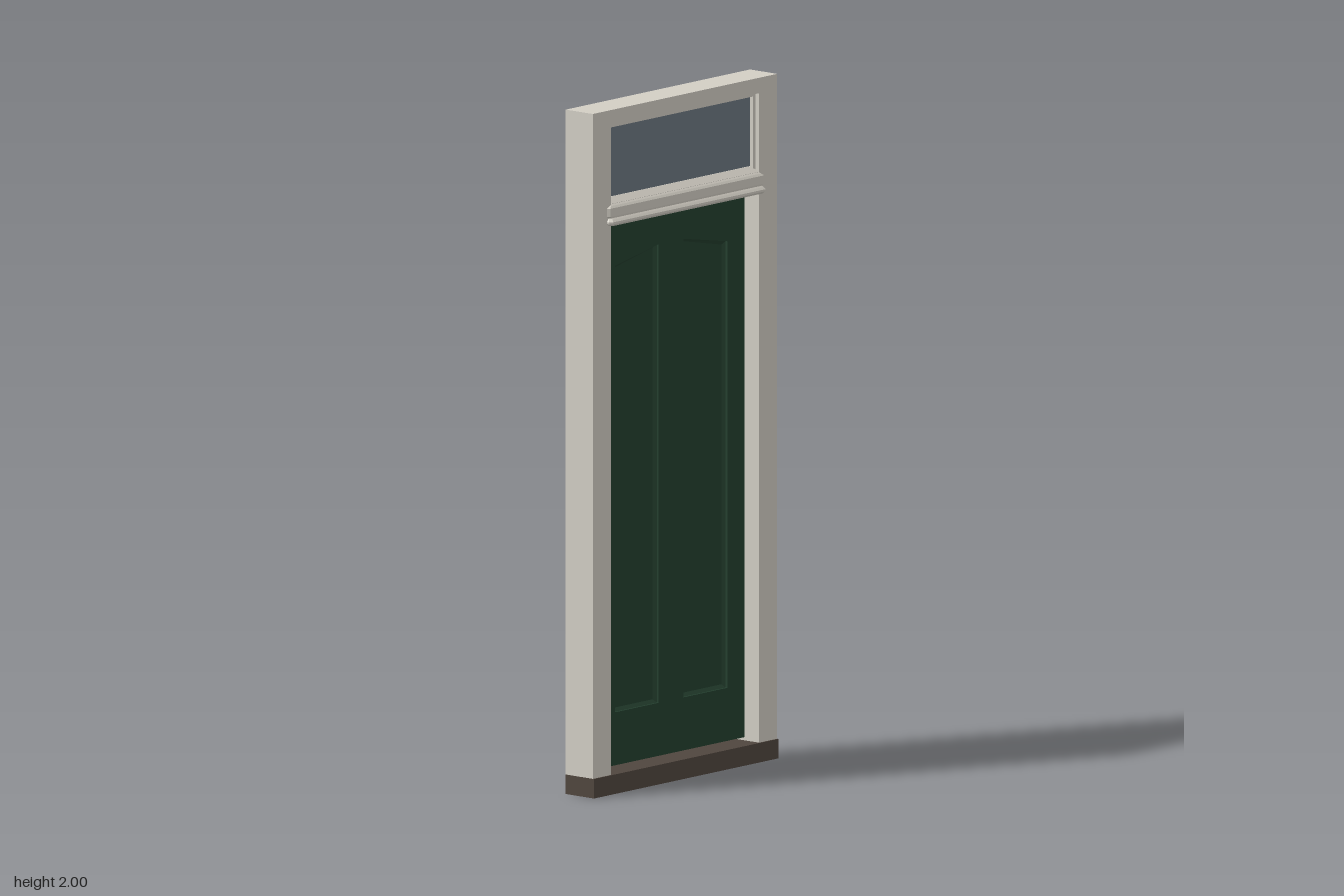
import * as THREE from 'three';

const paint = new THREE.MeshStandardMaterial({ color: 0xd2cec4 });
const green = new THREE.MeshStandardMaterial({ color: 0x24402f });
const stone = new THREE.MeshStandardMaterial({ color: 0x50463e });
const pane = new THREE.MeshStandardMaterial({ color: 0x6c7782 });

const BACK = -0.061, FRONT = 0.042, OPENING = 0.325;

// Box given by its lower and upper limits on each axis
function block(name, mat, [x0, x1], [y0, y1], [z0, z1]) {
  const mesh = new THREE.Mesh(new THREE.BoxGeometry(x1 - x0, y1 - y0, z1 - z0), mat);
  mesh.position.set((x0 + x1) / 2, (y0 + y1) / 2, (z0 + z1) / 2);
  mesh.name = name;
  return mesh;
}

// Flat-faced skin through equal-length rings, closed by a fan on the last one
function loft(rings) {
  const pos = [];
  const tri = (a, b, c) => pos.push(...a, ...b, ...c);
  const n = rings[0].length;
  for (let r = 0; r < rings.length - 1; r++) {
    for (let i = 0; i < n; i++) {
      const j = (i + 1) % n, a = rings[r], b = rings[r + 1];
      tri(a[i], a[j], b[j]);
      tri(a[i], b[j], b[i]);
    }
  }
  const last = rings[rings.length - 1];
  for (let i = 1; i < n - 1; i++) tri(last[0], last[i], last[i + 1]);
  const geo = new THREE.BufferGeometry();
  geo.setAttribute('position', new THREE.Float32BufferAttribute(pos, 3));
  geo.computeVertexNormals();
  return geo;
}

// Outline of the +x panel, its top rising toward the middle of the door
function panelOutline(inset) {
  return [
    [0.055 + inset, 0.222 + inset],
    [0.247 - inset, 0.222 + inset],
    [0.247 - inset, 1.527 - inset],
    [0.055 + inset, 1.562 - inset],
  ];
}

function buildDoor() {
  const door = new THREE.Group();
  door.name = 'door';
  const half = 0.323, y0 = 0.067, y1 = 1.659, thick = 0.049;

  // Stiles and rails with two openings
  const shape = new THREE.Shape([[-half, y0], [half, y0], [half, y1], [-half, y1]]
    .map(([x, y]) => new THREE.Vector2(x, y)));
  for (const s of [1, -1]) {
    shape.holes.push(new THREE.Path(panelOutline(0).map(([x, y]) => new THREE.Vector2(s * x, y))));
  }
  const leaf = new THREE.Mesh(
    new THREE.ExtrudeGeometry(shape, { depth: thick, bevelEnabled: false }), green);
  leaf.position.z = -thick / 2;
  leaf.name = 'doorLeaf';
  door.add(leaf);

  // Sunken panels with sloping edges, on both faces
  const dish = loft([[0, thick / 2 - 0.006], [0.01, thick / 2 - 0.014]]
    .map(([inset, z]) => panelOutline(inset).map(([x, y]) => [x, y, z])));
  for (const side of [1, -1]) {
    for (const turn of [0, Math.PI]) {
      const panel = new THREE.Mesh(dish, green);
      panel.scale.x = side;
      panel.rotation.y = turn;
      panel.name = turn ? 'backPanel' : 'frontPanel';
      door.add(panel);
    }
  }
  door.position.z = BACK + thick / 2 + 0.001;
  return door;
}

// Weather moulding with returned ends: [half width, y, z], bottom to top
function buildMoulding() {
  const profile = [
    [0.326, 1.66, 0.043], [0.336, 1.663, 0.053], [0.342, 1.669, 0.058],
    [0.343, 1.675, 0.058], [0.339, 1.681, 0.053], [0.336, 1.685, 0.049],
    [0.344, 1.69, 0.05], [0.344, 1.714, 0.05], [0.338, 1.72, 0.045],
    [0.321, 1.741, 0.02],
  ];
  const c = 0.008;
  const rings = profile.map(([h, y, z]) => [
    [-h, y, 0.005], [-h, y, z - c], [-h + c, y, z],
    [h - c, y, z], [h, y, z - c], [h, y, 0.005],
  ]);
  const mesh = new THREE.Mesh(loft(rings), paint);
  mesh.name = 'weatherMoulding';
  return mesh;
}

export function createModel() {
  const model = new THREE.Group();
  model.name = 'doorway';
  const depth = [BACK, FRONT], span = [-OPENING, OPENING];

  // Frame
  model.add(block('threshold', stone, [-0.405, 0.405], [0, 0.057], [BACK, 0.046]));
  model.add(block('header', paint, [-0.405, 0.405], [1.955, 2], depth));
  model.add(block('transomBar', paint, span, [1.66, 1.725], [BACK, 0.04]));
  for (const s of [1, -1]) {
    const jamb = block('jamb', paint, [OPENING, 0.405], [0.057, 1.955], depth);
    const stop = block('glazingStop', paint, [0.314, OPENING], [1.725, 1.955], [-0.022, 0.028]);
    for (const part of [jamb, stop]) {
      part.position.x *= s;
      model.add(part);
    }
  }
  model.add(block('topGlazingStop', paint, span, [1.945, 1.955], [-0.022, 0.028]));
  model.add(buildMoulding());

  // Window above the door
  model.add(block('transomGlass', pane, [-0.315, 0.315], [1.72, 1.946], [0.012, 0.018]));

  model.add(buildDoor());
  return model;
}
